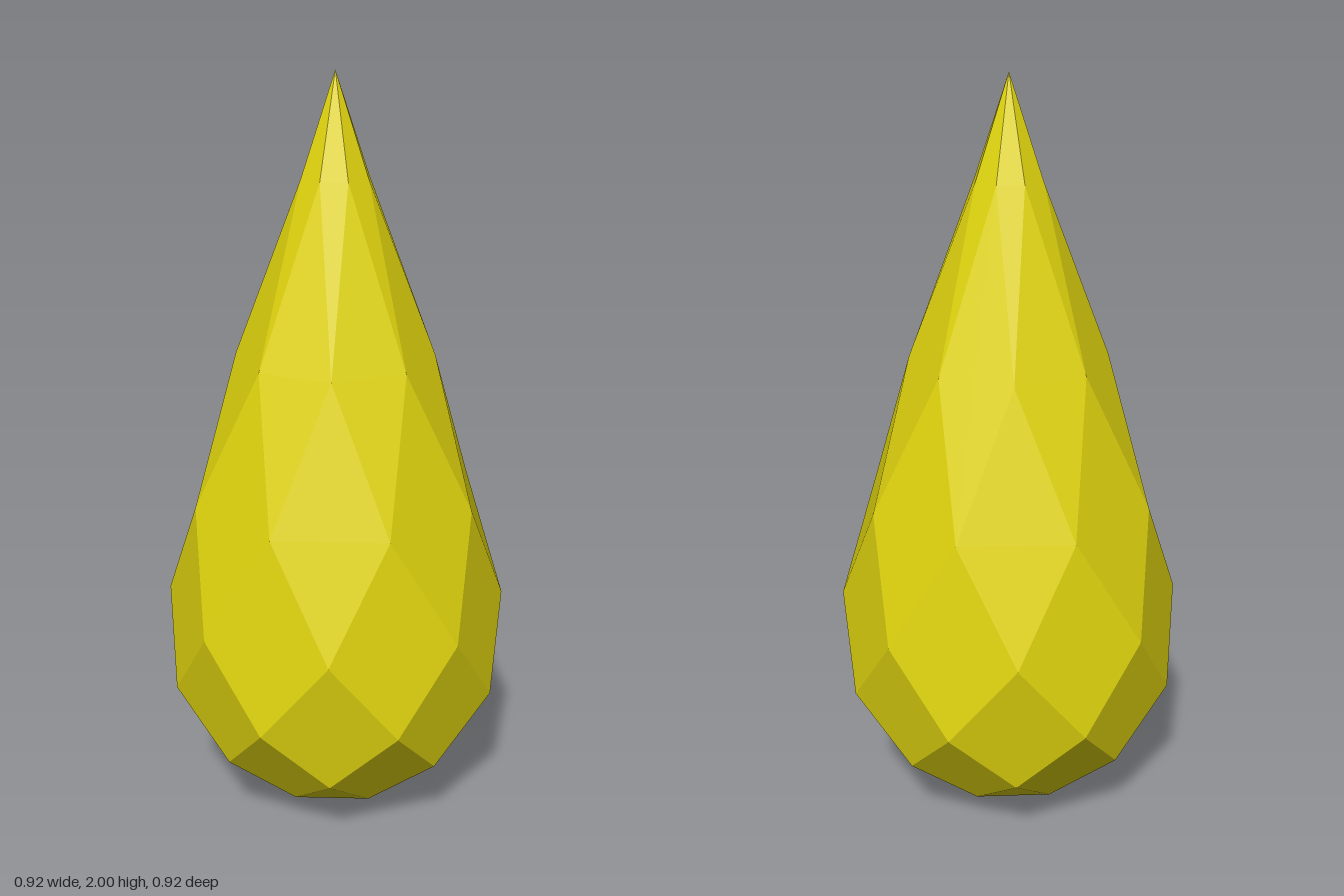
import * as THREE from 'three';

const SIDES = 8;
const STEP = (Math.PI * 2) / SIDES;
const RADIUS = 0.47;
// ring heights from the pointed tip down to the rounded base
const HEIGHTS = [2, 1.74, 1.28, 0.9, 0.6, 0.38, 0.21, 0.08, 0.01, 0];
const LAST = HEIGHTS.length - 1;

// point on a ring; angle 0 faces the back (-z)
function ringPoint(ring, angle) {
  const pole = ring === 0 || ring === LAST;
  const r = pole ? 0 : RADIUS * Math.sin(((ring - 0.5) * Math.PI) / (LAST - 1));
  return new THREE.Vector3(-Math.sin(angle) * r, HEIGHTS[ring], -Math.cos(angle) * r);
}

// staggered diamond facets, each shaded as one flat face
function dropGeometry() {
  const positions = [];
  const normals = [];
  for (let ring = 1; ring < LAST; ring++) {
    for (let i = 0; i < SIDES; i++) {
      const mid = (i + (ring % 2) / 2) * STEP;
      const top = ringPoint(ring - 1, mid);
      const bottom = ringPoint(ring + 1, mid);
      const a = ringPoint(ring, mid - STEP / 2);
      const b = ringPoint(ring, mid + STEP / 2);
      const normal = b.clone().sub(a).cross(top.clone().sub(bottom)).normalize();
      if (normal.dot(a.clone().add(b).setY(0)) < 0) normal.negate();
      // the back column is folded upright, the others across
      const upright = mid === 0;
      const triangles = upright
        ? [[top, a, bottom], [top, bottom, b]]
        : [[top, a, b], [bottom, b, a]];
      for (const tri of triangles) {
        const face = new THREE.Triangle(...tri).getNormal(new THREE.Vector3());
        if (face.dot(normal) < 0) tri.reverse();
        for (const p of tri) {
          positions.push(p.x, p.y, p.z);
          normals.push(normal.x, normal.y, normal.z);
        }
      }
    }
  }
  const geometry = new THREE.BufferGeometry();
  geometry.setAttribute('position', new THREE.Float32BufferAttribute(positions, 3));
  geometry.setAttribute('normal', new THREE.Float32BufferAttribute(normals, 3));
  return geometry;
}

export function createModel() {
  const group = new THREE.Group();
  group.name = 'facetedDrop';
  const gem = new THREE.Mesh(dropGeometry(), new THREE.MeshStandardMaterial({ color: 0xe0d40e }));
  gem.name = 'gem';
  group.add(gem);
  return group;
}
